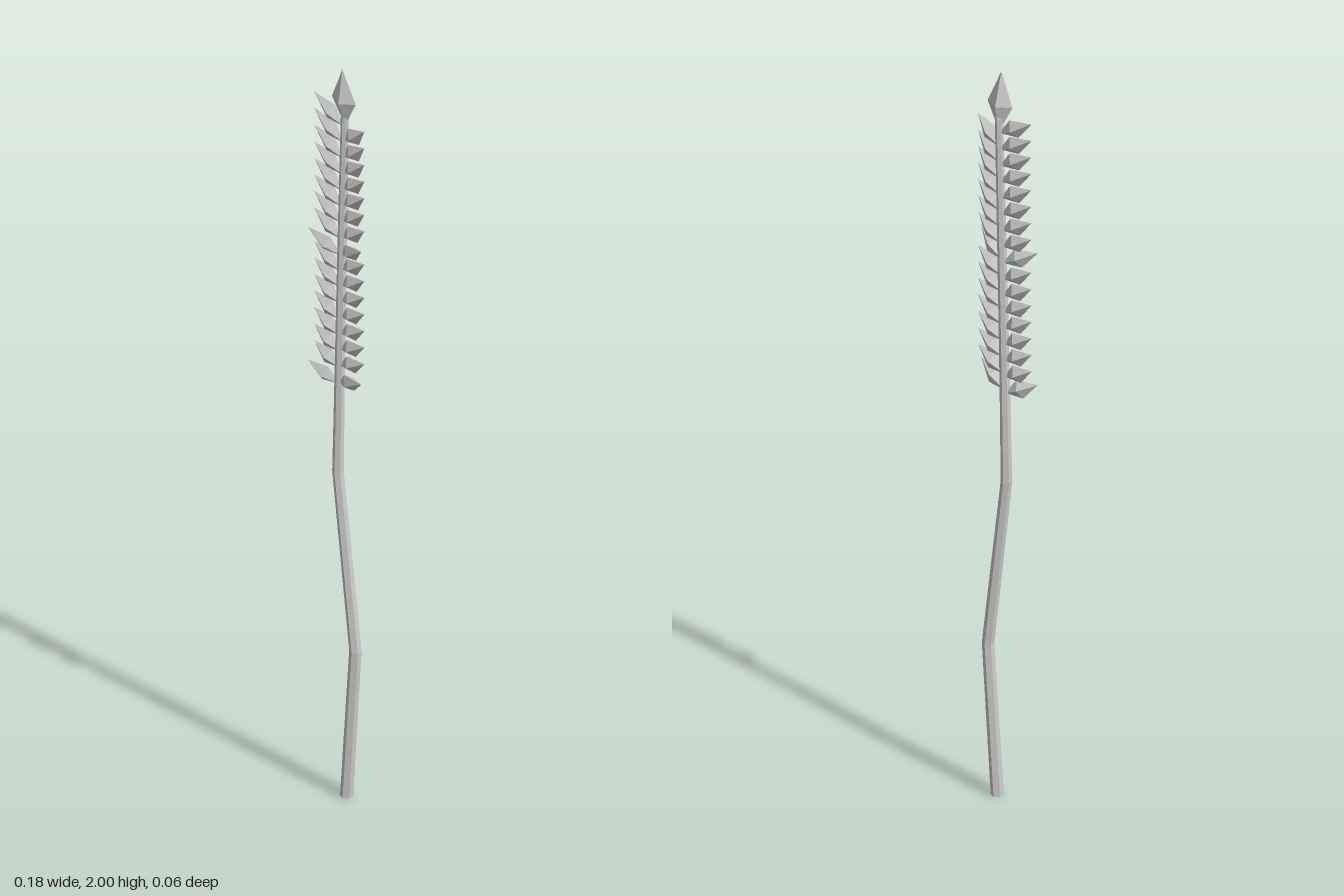
import * as THREE from 'three';

const material = new THREE.MeshStandardMaterial({ color: 0xcccccc, flatShading: true });

// Stalk centreline from root to tip: x, y, z, radius
const STALK = [
  [0.02, 0, -0.006, 0.016],
  [0.048, 0.41, -0.004, 0.015],
  [-0.01, 0.88, -0.011, 0.014],
  [-0.005, 1.14, -0.011, 0.0125],
  [0.004, 1.5, -0.009, 0.0115],
  [0.013, 1.88, -0.009, 0.01],
];

// Centre of the stalk at a given height
function stalkAt(y) {
  let i = 0;
  while (i < STALK.length - 2 && STALK[i + 1][1] < y) i++;
  const a = STALK[i], b = STALK[i + 1];
  const t = (y - a[1]) / (b[1] - a[1]);
  return new THREE.Vector3(a[0] + (b[0] - a[0]) * t, y, a[2] + (b[2] - a[2]) * t);
}

// Bent, tapering six-sided stalk: each ring of a cylinder follows the centreline
function makeStalk() {
  const rows = STALK.length - 1;
  const geometry = new THREE.CylinderGeometry(1, 1, rows, 6, rows);
  const p = geometry.attributes.position;
  for (let i = 0; i < p.count; i++) {
    const [x, y, z, r] = STALK[Math.round(p.getY(i) + rows / 2)];
    p.setXYZ(i, x + p.getX(i) * r, y, z + p.getZ(i) * r);
  }
  geometry.computeVertexNormals();
  const mesh = new THREE.Mesh(geometry, material);
  mesh.name = 'stalk';
  return mesh;
}

// Four-sided pointed grain running from base to tip
function makeGrain(name, base, tip, width, depth, belly) {
  const dir = tip.clone().sub(base);
  const length = dir.length();
  const profile = [[0, 0], [1, belly * length], [0, length]].map(([r, y]) => new THREE.Vector2(r, y));
  const mesh = new THREE.Mesh(new THREE.LatheGeometry(profile, 4), material);
  mesh.scale.set(width, 1, depth);
  mesh.position.copy(base);
  mesh.quaternion.setFromUnitVectors(new THREE.Vector3(0, 1, 0), dir.normalize());
  mesh.name = name;
  return mesh;
}

// Row of grains on one side of the ear; every eighth from the bottom leans forward
function makeRow(name, side, count, topY, bottomY, tipZ) {
  const row = new THREE.Group();
  row.name = name;
  for (let i = 0; i < count; i++) {
    const t = i / (count - 1);
    const tipY = THREE.MathUtils.lerp(topY, bottomY, t);
    const fromBottom = count - 1 - i;
    const leans = fromBottom === 0 || fromBottom === 8;
    const base = stalkAt(tipY - THREE.MathUtils.lerp(0.06, 0.043, t));
    const tip = new THREE.Vector3(side * (leans ? 0.092 : 0.087), tipY, tipZ + (leans ? 0.02 : 0));
    row.add(makeGrain('grain', base, tip, 0.024, 0.018, 0.45));
  }
  return row;
}

export function createModel() {
  const model = new THREE.Group();
  model.name = 'grainStalk';
  model.add(makeStalk());
  model.add(makeRow('rightGrains', -1, 17, 1.895, 1.165, -0.018));
  model.add(makeRow('leftGrains', 1, 16, 1.857, 1.172, 0.011));
  // Larger grain crowning the ear
  model.add(makeGrain('topGrain', new THREE.Vector3(0.013, 1.84, -0.009), new THREE.Vector3(0.014, 2, 0.003), 0.036, 0.022, 0.45));
  return model;
}
